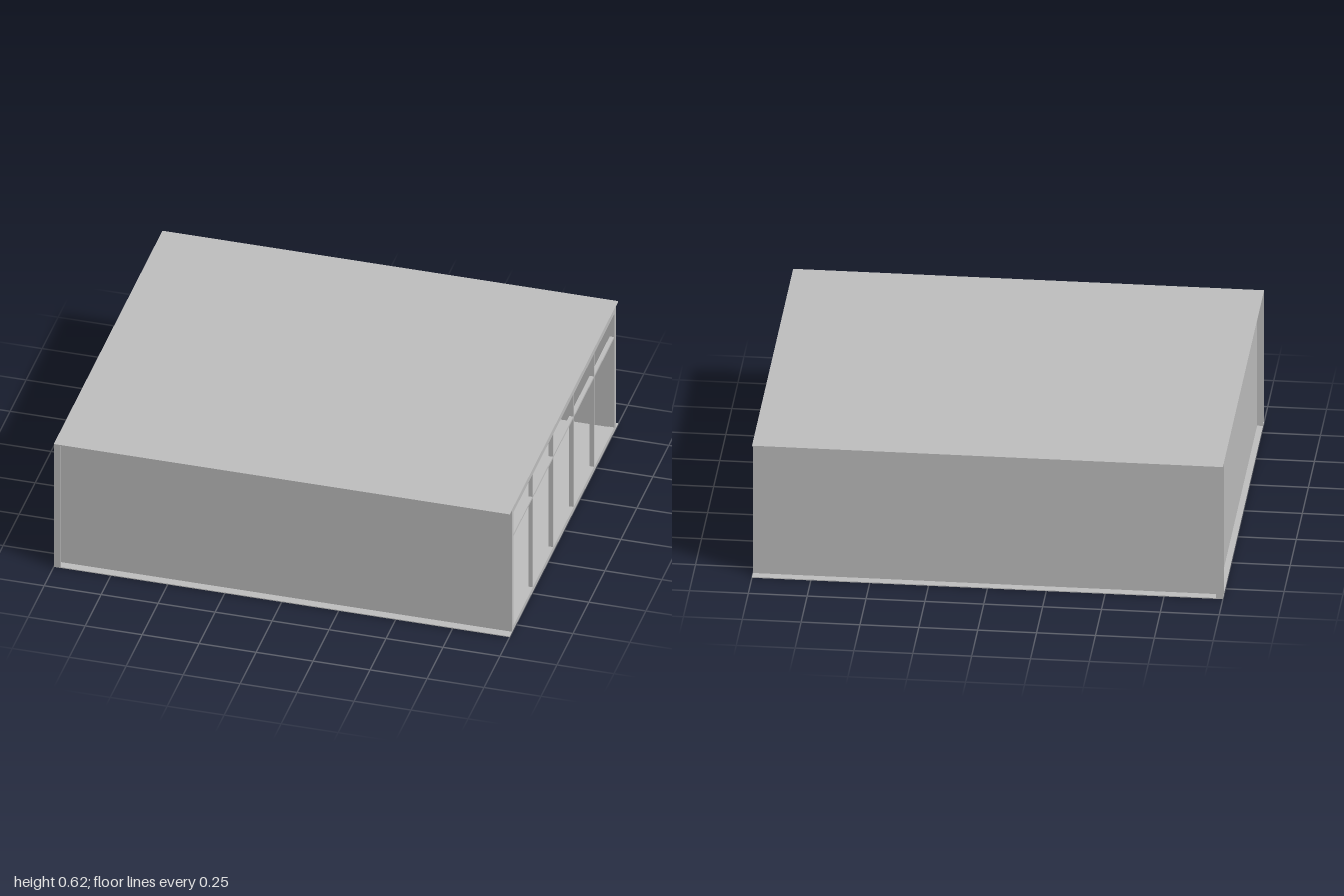
import * as THREE from 'three';

export function createModel() {
  const model = new THREE.Group();
  const grey = new THREE.MeshStandardMaterial({ color: 0xbfbfbf });
  grey.name = 'plain grey';

  // Box given by its low and high limits on each axis
  function block(name, [x0, x1], [y0, y1], [z0, z1], parent = model) {
    const mesh = new THREE.Mesh(new THREE.BoxGeometry(x1 - x0, y1 - y0, z1 - z0), grey);
    mesh.position.set((x0 + x1) / 2, (y0 + y1) / 2, (z0 + z1) / 2);
    mesh.name = name;
    parent.add(mesh);
  }
  function part(name) {
    const group = new THREE.Group();
    group.name = name;
    model.add(group);
    return group;
  }

  const H = 0.622;
  const top = H - 0.004;

  // Thin slabs that overhang the walls
  block('basePlate', [-1, 1], [0, 0.004], [-0.85, 0.85]);
  block('roofPlate', [-1, 1], [top, H], [-0.85, 0.85]);
  block('interiorFloor', [-0.97, 0.98], [0.004, 0.02], [-0.79, 0.79]);

  // Solid walls on three sides
  block('frontWall', [-0.97, 1], [0.004, top], [0.788, 0.812]);
  block('backWall', [-0.97, 1], [0.004, top], [-0.812, -0.788]);
  block('rightWall', [-0.975, -0.95], [0.004, top], [-0.812, 0.812]);

  // Lowered ceiling, stopping short of the window wall
  block('loweredCeiling', [-0.95, 0.52], [0.56, top], [-0.788, 0.788]);

  // I-section columns at the two corners of the closed end
  for (const s of [-1, 1]) {
    const column = part(s > 0 ? 'frontColumn' : 'backColumn');
    const span = (a, b) => (s > 0 ? [a, b] : [-b, -a]);
    block('outerFlange', [-1, -0.97], [0.004, top], span(0.845, 0.85), column);
    block('innerFlange', [-1, -0.97], [0.004, top], span(0.807, 0.812), column);
    block('web', [-0.988, -0.982], [0.004, top], span(0.812, 0.845), column);
  }

  // Open window wall: header, sill, transom and mullions
  const windowWall = part('windowWall');
  block('header', [0.975, 1], [0.595, top], [-0.788, 0.788], windowWall);
  block('sill', [0.975, 1], [0.004, 0.022], [-0.788, 0.788], windowWall);
  block('transom', [0.98, 0.998], [0.469, 0.479], [-0.788, 0.788], windowWall);
  for (const z of [-0.48, -0.16, 0.16, 0.48]) {
    block('mullion', [0.98, 0.998], [0.02, 0.597], [z - 0.006, z + 0.006], windowWall);
  }

  // Low table in the room
  const table = part('lowTable');
  block('tableTop', [-0.25, 0.25], [0.062, 0.068], [-0.133, 0.133], table);
  for (const x of [-0.2, 0.2]) {
    for (const z of [-0.105, 0.105]) {
      block('tableLeg', [x - 0.003, x + 0.003], [0.02, 0.062], [z - 0.003, z + 0.003], table);
    }
  }
  return model;
}
